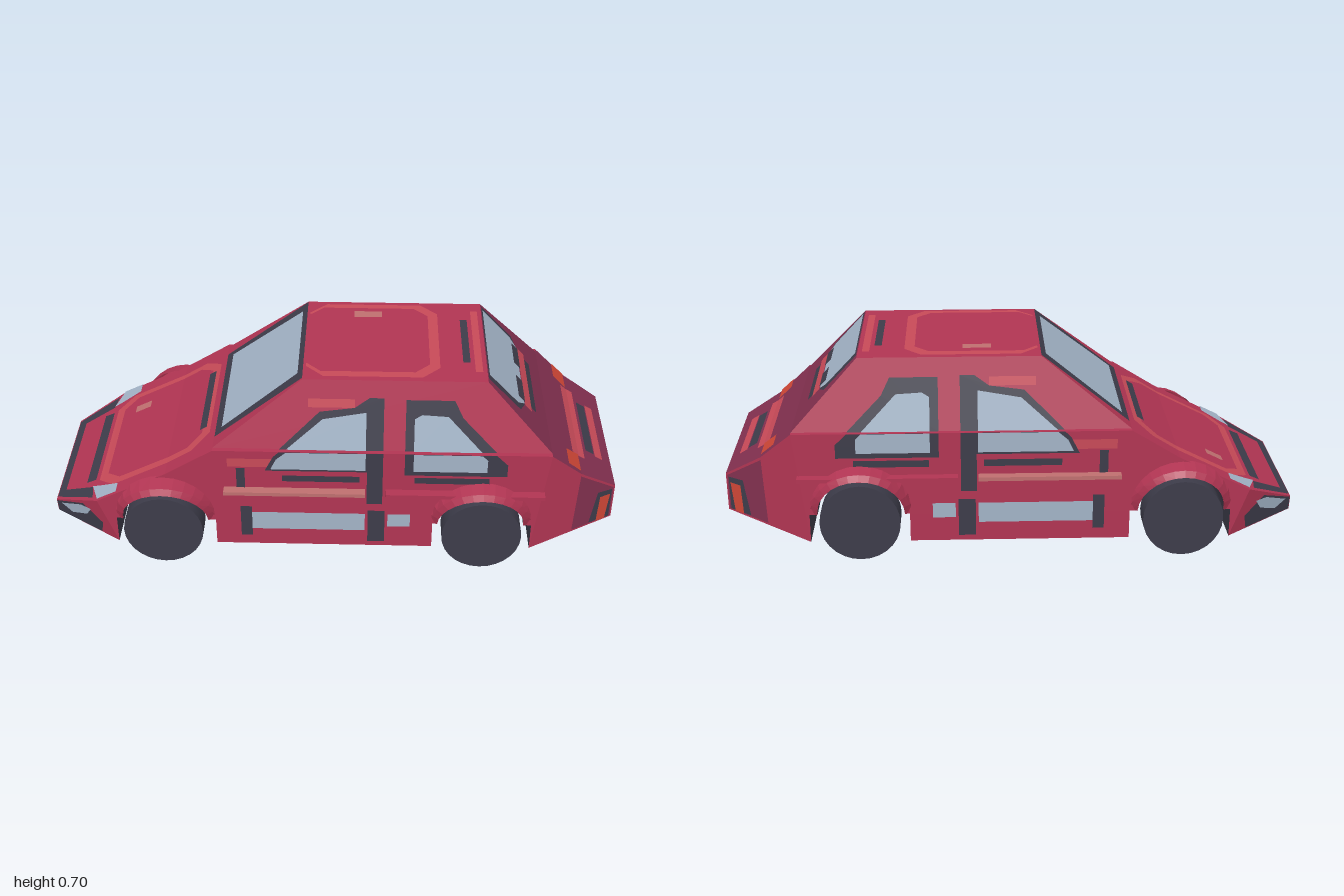
import * as THREE from 'three';

const mat = (name, color) => {
  const m = new THREE.MeshStandardMaterial({ color, side: THREE.DoubleSide });
  m.name = name;
  return m;
};
const red = mat('crimson paint', 0xb23553);
const bright = mat('bright red trim', 0xc84a58);
const maroon = mat('maroon paint', 0x82304f);
const dark = mat('dark rubber', 0x3d3c4a);
const glass = mat('pale glass', 0xa3b4c7);
const orange = mat('orange lamp', 0xcf4636);
const salmon = mat('salmon trim', 0xc07070);

const BELT = 0.45;
// Upper outline, nose to tail (the nose points to -x)
const outline = [[-1, 0.145], [-0.83, 0.22], [-0.58, 0.345], [-0.41, BELT], [-0.1, 0.695],
  [0.53, 0.695], [0.76, BELT], [0.87, 0.355], [1, 0.28]];
const tailLine = outline.slice(5).map(([x, y]) => [y, x]).reverse();

function lookup(table, t) {
  let i = 1;
  while (i < table.length - 1 && t > table[i][0]) i++;
  const [a, b] = [table[i - 1], table[i]];
  return a[1] + (b[1] - a[1]) * (t - a[0]) / (b[0] - a[0]);
}

// Half width of the body: straight sides, tapered nose and tail, leaning cabin
function halfWidth(x, y, cabin) {
  if (cabin) return 0.325 - (y - BELT) * 0.273;
  const tail = Math.max(0, x - 0.71 - (y - 0.04) * 0.122);
  const nose = Math.max(0, -0.765 - x - (y - 0.04) * 0.361);
  return 0.343 - 0.25 * tail - 0.5 * nose;
}

export function createModel() {
  const car = new THREE.Group();
  car.name = 'car';
  const add = (name, geo, material) => {
    const mesh = new THREE.Mesh(geo, material);
    mesh.name = name;
    car.add(mesh);
    return mesh;
  };

  // Extrude a side profile, fit it to the body width and colour faces by direction
  function hull(name, shape, cabin) {
    const geo = new THREE.ExtrudeGeometry(shape, { depth: 1, bevelEnabled: false, curveSegments: 16 });
    const p = geo.attributes.position;
    for (let i = 0; i < p.count; i++) {
      p.setZ(i, (2 * p.getZ(i) - 1) * halfWidth(p.getX(i), p.getY(i), cabin));
    }
    geo.computeVertexNormals();
    geo.clearGroups();
    const n = geo.attributes.normal;
    for (let i = 0; i < p.count; i += 3) {
      const cx = (p.getX(i) + p.getX(i + 1) + p.getX(i + 2)) / 3;
      let k = 0;
      if (Math.abs(n.getZ(i)) < 0.7) {
        if (n.getY(i) < 0.25) k = 1;
        else if (cx > 0.54) k = 2;
      }
      geo.addGroup(i, 3, k);
    }
    add(name, geo, [red, dark, maroon]);
  }
  const poly = pts => new THREE.Shape(pts.map(q => new THREE.Vector2(...q)));

  const middle = new THREE.Shape();
  middle.moveTo(-0.41, 0.04);
  middle.lineTo(0.36, 0.04);
  middle.lineTo(0.36, 0.145);
  middle.absarc(0.53, 0.145, 0.152, Math.PI, 0, true);
  middle.lineTo(0.71, 0.145);
  for (const q of [[0.71, 0.04], [0.76, BELT], [-0.41, BELT], [-0.58, 0.345], [-0.83, 0.22],
    [-0.765, 0.04], [-0.765, 0.145]]) middle.lineTo(...q);
  middle.absarc(-0.59, 0.145, 0.152, Math.PI, 0, true);
  middle.lineTo(-0.41, 0.145);
  hull('body', middle);
  hull('nose', poly([[-1, 0.09], [-0.765, 0.04], [-0.83, 0.22], [-1, 0.145]]));
  hull('tail', poly([[0.71, 0.04], [1, 0.14], [1, 0.28], [0.87, 0.355], [0.76, BELT]]));
  hull('cabin', poly([[-0.41, BELT], [0.76, BELT], [0.53, 0.695], [-0.1, 0.695]]), true);

  // Keep the part of a polygon between two values of its first coordinate
  function clip(pts, lo, hi) {
    for (const [limit, sign] of [[lo, 1], [hi, -1]]) {
      const out = [];
      pts.forEach((a, i) => {
        const b = pts[(i + 1) % pts.length];
        const da = (a[0] - limit) * sign, db = (b[0] - limit) * sign;
        if (da >= 0) out.push(a);
        if (da * db < 0) out.push([limit, a[1] + (b[1] - a[1]) * da / (da - db)]);
      });
      pts = out;
    }
    return pts;
  }

  // Lay a thin painted polygon over a surface that folds at the given values
  function paint(name, pts, material, folds, place) {
    const edges = [-9, ...folds, 9];
    for (let i = 1; i < edges.length; i++) {
      const part = clip(pts, edges[i - 1], edges[i]);
      if (part.length < 3) continue;
      const geo = new THREE.ShapeGeometry(poly(part));
      const p = geo.attributes.position;
      for (let j = 0; j < p.count; j++) p.setXYZ(j, ...place(p.getX(j), p.getY(j), i));
      geo.computeVertexNormals();
      add(name, geo, material);
    }
  }
  const side = (name, pts, material, layer = 1) => {
    for (const s of [1, -1]) {
      paint(name, pts.map(([x, y]) => [y, x]), material, [BELT],
        (y, x, i) => [x, y, s * (halfWidth(x, y, i === 2) + 0.002 * layer)]);
    }
  };
  const top = (name, pts, material, layer = 1) => paint(name, pts, material,
    outline.slice(1, -1).map(q => q[0]), (x, z) => [x, lookup(outline, x) + 0.002 * layer, z]);
  const rear = (name, pts, material, layer = 1) => paint(name, pts, material,
    tailLine.slice(1, -1).map(q => q[0]),
    (y, z) => [lookup(tailLine, y) + 0.002 * layer, y + 0.002 * layer, z]);
  const rect = (a, b, c, d) => [[a, c], [b, c], [b, d], [a, d]];
  const rounded = (a, b, w, r) => [[a + r, -w], [b - r, -w], [b, r - w], [b, w - r],
    [b - r, w], [a + r, w], [a, w - r], [a, r - w]];

  // Side windows and door markings
  side('frontWindowFrame', [[-0.23, 0.37], [-0.2, 0.43], [-0.04, 0.585], [0.08, 0.6], [0.13, 0.635], [0.18, 0.635],
    [0.18, 0.23], [0.125, 0.23], [0.125, 0.37]], dark);
  side('frontSideWindow', [[-0.21, 0.378], [-0.19, 0.42], [-0.03, 0.56], [0.12, 0.585], [0.12, 0.378]], glass, 2);
  side('rearWindowFrame', [[0.255, 0.36], [0.255, 0.63], [0.42, 0.63], [0.45, 0.57], [0.61, 0.41], [0.61, 0.36]], dark);
  side('rearSideWindow', [[0.285, 0.378], [0.285, 0.565], [0.31, 0.58], [0.4, 0.575], [0.54, 0.43], [0.54, 0.378]], glass, 2);
  side('frontDoorLine', rect(-0.17, 0.1, 0.325, 0.35), dark);
  side('rearDoorLine', rect(0.29, 0.55, 0.325, 0.35), dark);
  side('doorEdge', rect(-0.33, -0.3, 0.29, 0.38), dark);
  side('frontSill', rect(-0.28, 0.12, 0.11, 0.185), glass);
  side('rearSill', rect(0.2, 0.28, 0.13, 0.185), glass);
  side('sillEdge', rect(-0.32, -0.28, 0.08, 0.21), dark);
  side('doorGap', rect(0.13, 0.19, 0.06, 0.2), dark);
  side('roofEdge', rect(-0.08, 0.08, 0.6, 0.63), bright);
  side('beltTrim', rect(-0.36, -0.2, 0.385, 0.42), bright);

  // Lamps and bumper ends on the sides of nose and tail
  side('tailCorner', [[0.86, 0.1], [0.995, 0.145], [0.995, 0.275], [0.87, 0.345]], maroon);
  side('tailLampFrame', [[0.92, 0.125], [0.99, 0.145], [0.99, 0.27], [0.94, 0.26]], dark, 2);
  side('tailLamp', [[0.945, 0.13], [0.975, 0.14], [0.985, 0.25], [0.95, 0.24]], orange, 3);
  side('noseCorner', [[-0.998, 0.092], [-0.83, 0.058], [-0.82, 0.11], [-0.89, 0.18], [-0.998, 0.143]], dark);
  side('noseLamp', [[-0.98, 0.14], [-0.94, 0.11], [-0.88, 0.13], [-0.86, 0.165], [-0.9, 0.17]], glass, 2);

  // Hood, windshield and roof
  top('hoodBorder', rounded(-0.84, -0.43, 0.28, 0.06), bright);
  top('hoodPanel', rounded(-0.81, -0.46, 0.25, 0.05), red, 2);
  top('hoodGrille', rect(-0.89, -0.855, -0.21, 0.21), dark);
  top('hoodVent', rect(-0.47, -0.445, -0.18, 0.18), dark, 3);
  top('noseEdge', rect(-0.997, -0.97, -0.235, 0.235), dark);
  for (const s of [1, -1]) {
    top('headlamp', [[-0.86, s * 0.25], [-0.76, s * 0.29], [-0.76, s * 0.338], [-0.83, s * 0.338]], glass, 3);
    top('noseCornerTop', [[-0.99, s * 0.2], [-0.99, s * 0.238], [-0.85, s * 0.315], [-0.86, s * 0.25]], dark);
  }
  top('windshieldFrame', [[-0.408, -0.265], [-0.1, -0.252], [-0.1, 0.252], [-0.408, 0.265]], dark);
  top('windshield', [[-0.385, -0.235], [-0.118, -0.205], [-0.118, 0.205], [-0.385, 0.235]], glass, 2);
  top('roofBorder', rounded(-0.09, 0.37, 0.238, 0.06), bright);
  top('roofPanel', rounded(-0.09, 0.335, 0.21, 0.05), red, 2);
  top('roofMark', rect(0.07, 0.17, -0.185, -0.145), salmon, 3);
  top('hoodMark', rect(-0.76, -0.7, -0.185, -0.145), salmon, 3);
  top('roofRearTrim', rect(0.45, 0.475, -0.14, 0.14), dark);
  top('roofRearStripe', rect(0.49, 0.515, -0.2, 0.2), bright);

  // Rear window, trim and lamps
  rear('rearGlassFrame', [[0.694, -0.238], [0.694, 0.238], [0.57, 0.238], [0.55, 0.18], [0.55, -0.18], [0.57, -0.238]], dark);
  rear('rearGlass', [[0.692, -0.213], [0.692, 0.213], [0.58, 0.213], [0.553, 0.18], [0.553, -0.18], [0.58, -0.213]], glass, 2);
  for (const s of [1, -1]) rear('headrest', rect(0.552, 0.577, s * 0.105 - 0.065, s * 0.105 + 0.065), dark, 3);
  rear('rearStripe', rect(0.523, 0.55, -0.185, 0.185), bright, 2);
  rear('rearLine', rect(0.5, 0.522, -0.155, 0.155), dark);
  rear('trunkStripe', rect(0.342, 0.375, -0.21, 0.21), bright);
  rear('trunkLine', rect(0.318, 0.336, -0.15, 0.15), dark);
  rear('trunkEdge', rect(0.3, 0.316, -0.16, 0.16), bright);
  for (const s of [1, -1]) {
    rear('rearLamp', [[0.36, s * 0.21], [0.36, s * 0.305], [0.4, s * 0.315], [0.4, s * 0.23]], orange, 2);
  }

  // Wheels, flared fenders and door mouldings, mirrored
  for (const s of [1, -1]) {
    for (const x of [-0.59, 0.53]) {
      const wheel = add('wheel', new THREE.CylinderGeometry(0.14, 0.14, 0.084, 28).rotateX(Math.PI / 2), dark);
      wheel.position.set(x, 0.141, s * 0.362);

      const geo = new THREE.PlaneGeometry(1, 1, 14, 3).toNonIndexed();
      const p = geo.attributes.position;
      for (let i = 0; i < p.count; i++) {
        const angle = (p.getX(i) + 0.5) * Math.PI;
        const flare = 0.347 + 0.06 * Math.sin(angle);
        const [r, z] = [[0.187, 0.335], [0.175, flare - 0.012], [0.153, flare], [0.153, 0.335]][Math.round((p.getY(i) + 0.5) * 3)];
        p.setXYZ(i, x + r * Math.cos(angle), 0.145 + r * Math.sin(angle), s * z);
      }
      geo.computeVertexNormals();
      add('fender', geo, red);
    }
    for (const [a, b] of [[-0.375, 0.12], [0.19, 0.745]]) {
      const strip = add('doorMoulding', new THREE.BoxGeometry(b - a, 0.014, 0.036), s && a < 0 ? salmon : red);
      strip.position.set((a + b) / 2, 0.288, s * 0.357);
    }
  }
  return car;
}
